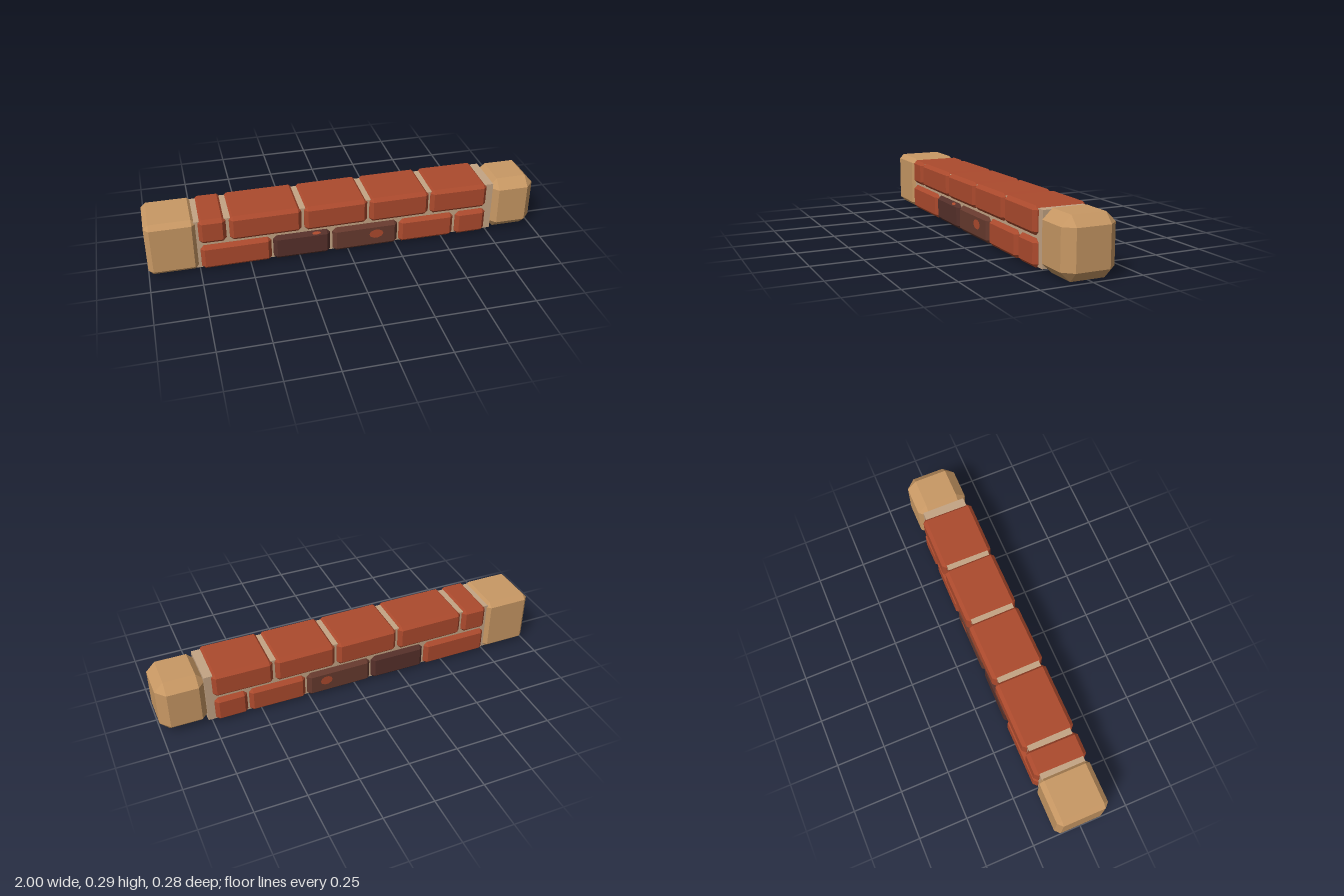
import * as THREE from 'three';
import { ConvexGeometry } from 'three/addons/geometries/ConvexGeometry.js';

const paint = (name, color) => {
  const m = new THREE.MeshStandardMaterial({ color });
  m.name = name;
  return m;
};

// box with flat chamfers; each bevel is measured along its own axis
function chamferBox(w, h, d, bx, by = bx, bz = bx) {
  const pts = [];
  for (const x of [-1, 1]) for (const y of [-1, 1]) for (const z of [-1, 1]) {
    const X = w / 2, Y = h / 2, Z = d / 2;
    pts.push(
      new THREE.Vector3(x * X, y * (Y - by), z * (Z - bz)),
      new THREE.Vector3(x * (X - bx), y * Y, z * (Z - bz)),
      new THREE.Vector3(x * (X - bx), y * (Y - by), z * Z));
  }
  return new ConvexGeometry(pts);
}

export function createModel() {
  const model = new THREE.Group();
  model.name = 'brickWall';
  const red = paint('redBrick', 0xac4a2d);
  const dark = paint('darkBrick', 0x56302a);
  const brown = paint('brownBrick', 0x673a2e);
  const stone = paint('sandstone', 0xc89864);
  const mortar = paint('mortar', 0xc4a484);

  const add = (name, geometry, material, x, y, z, parent = model) => {
    const mesh = new THREE.Mesh(geometry, material);
    mesh.name = name;
    mesh.position.set(x, y, z);
    parent.add(mesh);
    return mesh;
  };

  // mortar core
  add('mortarCore', new THREE.BoxGeometry(1.54, 0.262, 0.226), mortar, 0, 0.144, 0);

  // brick courses: [start x, end x, yaw, material]
  const courses = [
    { name: 'lowerBrick', y: 0.073, bricks: [
      [-0.742, -0.393, 0.006, red], [-0.382, -0.093, -0.008, dark], [-0.082, 0.258, 0.005, brown],
      [0.268, 0.558, -0.006, red], [0.57, 0.733, 0.01, red]] },
    { name: 'upperBrick', y: 0.219, bricks: [
      [-0.742, -0.608, -0.01, red], [-0.594, -0.238, 0.006, red], [-0.225, 0.097, 0.012, red],
      [0.109, 0.419, 0.006, red], [0.431, 0.733, -0.008, red]] },
  ];
  for (const { name, y, bricks } of courses) {
    bricks.forEach(([a, b, yaw, material], i) => {
      const geometry = chamferBox(b - a, 0.132, 0.27, 0.018);
      add(name + (i + 1), geometry, material, (a + b) / 2, y, 0).rotation.y = yaw;
    });
  }

  // red flecks showing through the dark bricks
  const fleck = (x, y, z, rx, ry, tiltX, tiltY) => {
    const m = add('redFleck', new THREE.CircleGeometry(1, 10), red, x, y, z);
    m.scale.set(rx, ry, 1);
    m.rotation.set(tiltX, tiltY, 0);
  };
  fleck(0.143, 0.085, 0.1375, 0.037, 0.025, 0, 0);
  fleck(0.16, 0.085, -0.1375, 0.032, 0.025, 0, Math.PI);
  fleck(0.12, 0.0055, 0.05, 0.02, 0.014, Math.PI / 2, 0);
  fleck(-0.345, 0.0055, 0, 0.017, 0.03, Math.PI / 2, 0);
  fleck(-0.165, 0.1315, 0.1275, 0.022, 0.008, -Math.PI / 4, 0);

  // end stones: a square one and a well worn one
  add('rightEndStone', chamferBox(0.25, 0.282, 0.262, 0.024), stone, -0.875, 0.147, 0);
  add('leftEndStone', chamferBox(0.245, 0.286, 0.266, 0.045, 0.047, 0.049), stone, 0.8775, 0.145, 0);

  return model;
}
